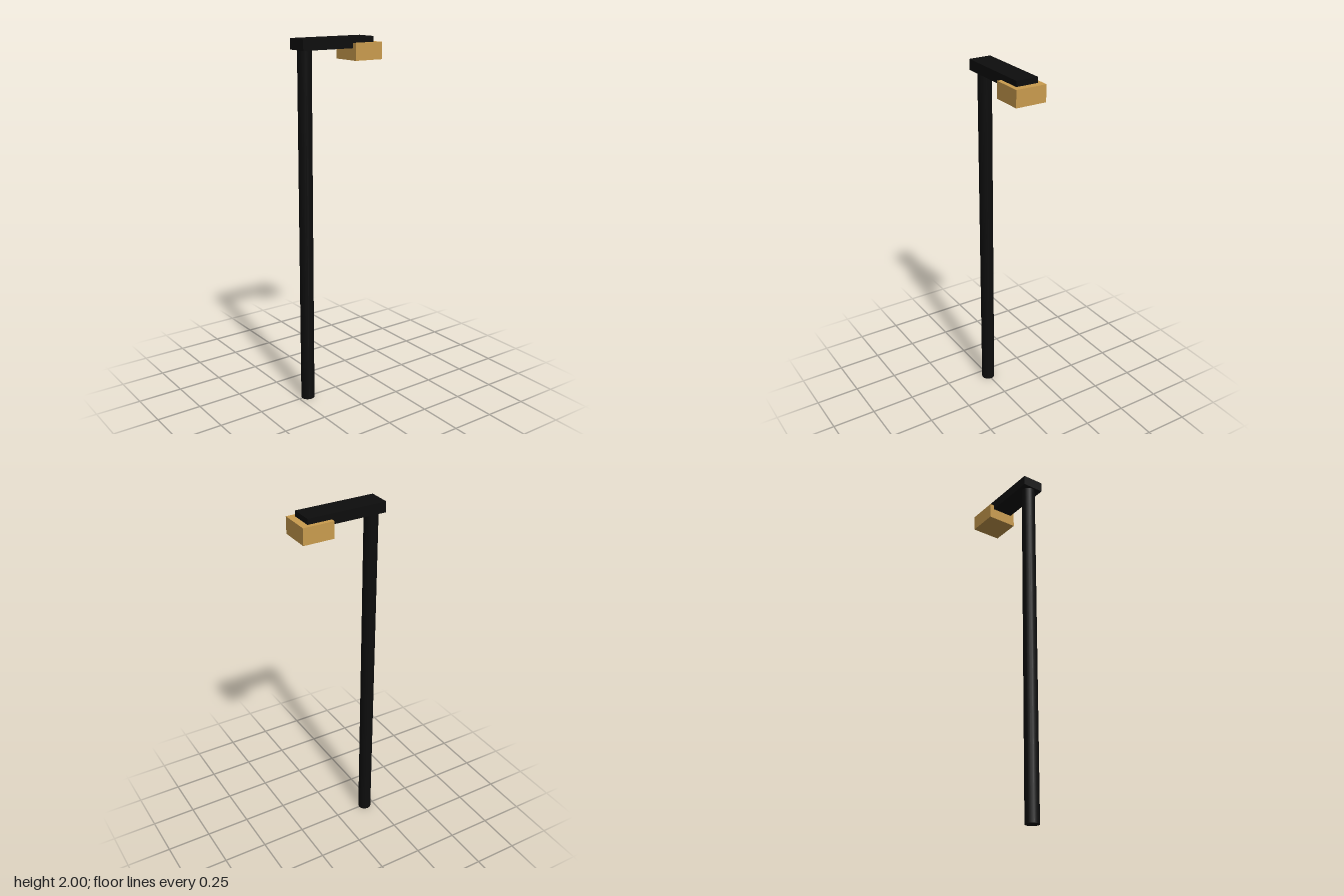
import * as THREE from 'three';

export function createModel() {
  const group = new THREE.Group();
  const black = new THREE.MeshStandardMaterial({ color: 0x0d0d0d });
  black.name = 'black metal';
  const amber = new THREE.MeshStandardMaterial({ color: 0xca9c4e });
  amber.name = 'amber lamp';

  function add(name, geometry, material, x, y, z = 0) {
    const mesh = new THREE.Mesh(geometry, material);
    mesh.name = name;
    mesh.position.set(x, y, z);
    group.add(mesh);
  }

  // Upright round pole, ending inside the arm
  add('pole', new THREE.CylinderGeometry(0.038, 0.038, 1.96, 16), black, -0.193, 0.98);
  // Flat arm reaching sideways over the lamp
  add('arm', new THREE.BoxGeometry(0.442, 0.057, 0.123), black, -0.019, 1.9715);
  // Lamp block set into the underside of the arm's end
  add('lamp', new THREE.BoxGeometry(0.172, 0.09, 0.172), amber, 0.154, 1.925);

  return group;
}
